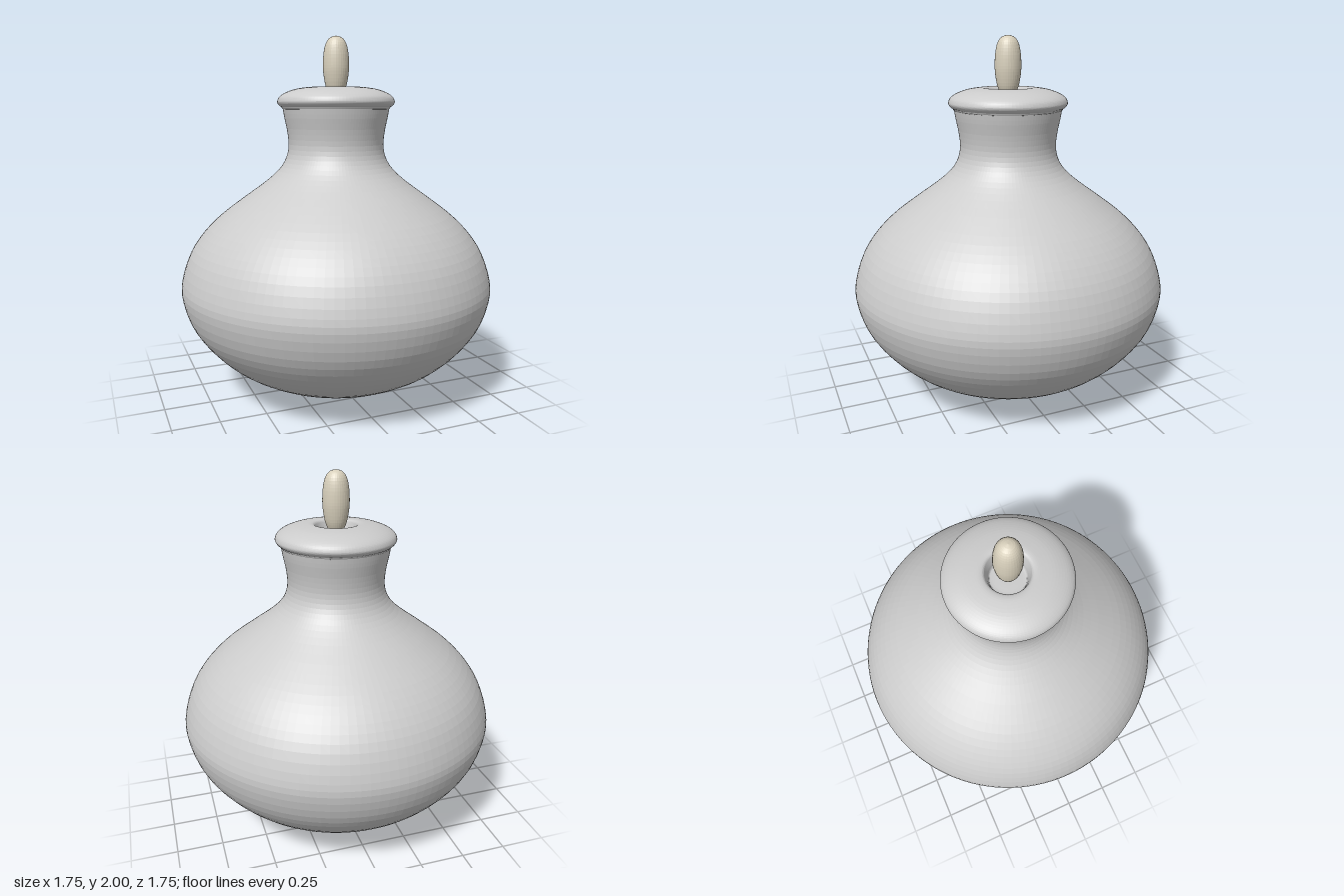
import * as THREE from 'three';

const vec = ([r, y]) => new THREE.Vector2(r, y);

// Turned part: a smooth curve through radius/height pairs, spun around y
function turned(name, points, steps, sides, color = 0xcccccc) {
  const profile = new THREE.SplineCurve(points.map(vec)).getPoints(steps);
  profile.forEach((p) => { p.x = Math.max(p.x, 0); });
  const mesh = new THREE.Mesh(
    new THREE.LatheGeometry(profile, sides),
    new THREE.MeshStandardMaterial({ color, flatShading: true, side: THREE.DoubleSide })
  );
  mesh.name = name;
  return mesh;
}

export function createModel() {
  const lamp = new THREE.Group();
  lamp.name = 'oilLamp';

  // Squat round vessel with a flared neck
  lamp.add(turned('vessel', [
    [0, 0], [0.13, 0.003], [0.23, 0.015], [0.34, 0.053], [0.5, 0.125], [0.63, 0.205],
    [0.745, 0.315], [0.83, 0.44], [0.872, 0.58], [0.866, 0.68], [0.82, 0.81],
    [0.75, 0.915], [0.655, 1.01], [0.53, 1.105], [0.405, 1.195], [0.325, 1.265],
    [0.282, 1.33], [0.266, 1.4], [0.272, 1.48], [0.288, 1.56], [0.296, 1.61],
  ], 56, 112));

  // Domed lid with an undercut bead and a socket for the wick
  lamp.add(turned('lid', [
    [0, 1.602], [0.15, 1.602], [0.28, 1.602], [0.298, 1.607], [0.303, 1.615], [0.312, 1.62],
    [0.324, 1.635], [0.325, 1.65], [0.313, 1.672], [0.28, 1.694], [0.225, 1.713],
    [0.16, 1.723], [0.13, 1.723], [0.116, 1.716], [0.109, 1.7], [0.1, 1.67],
    [0.094, 1.645], [0.082, 1.638], [0.04, 1.638], [0, 1.638],
  ], 76, 112));

  // Egg-shaped wick standing in the socket
  lamp.add(turned('wick', [
    [0, 1.638], [0.03, 1.667], [0.046, 1.70], [0.06, 1.74], [0.07, 1.8], [0.072, 1.85],
    [0.068, 1.91], [0.056, 1.96], [0.033, 1.99], [0, 2],
  ], 28, 32, 0xd8d0bc));

  return lamp;
}
